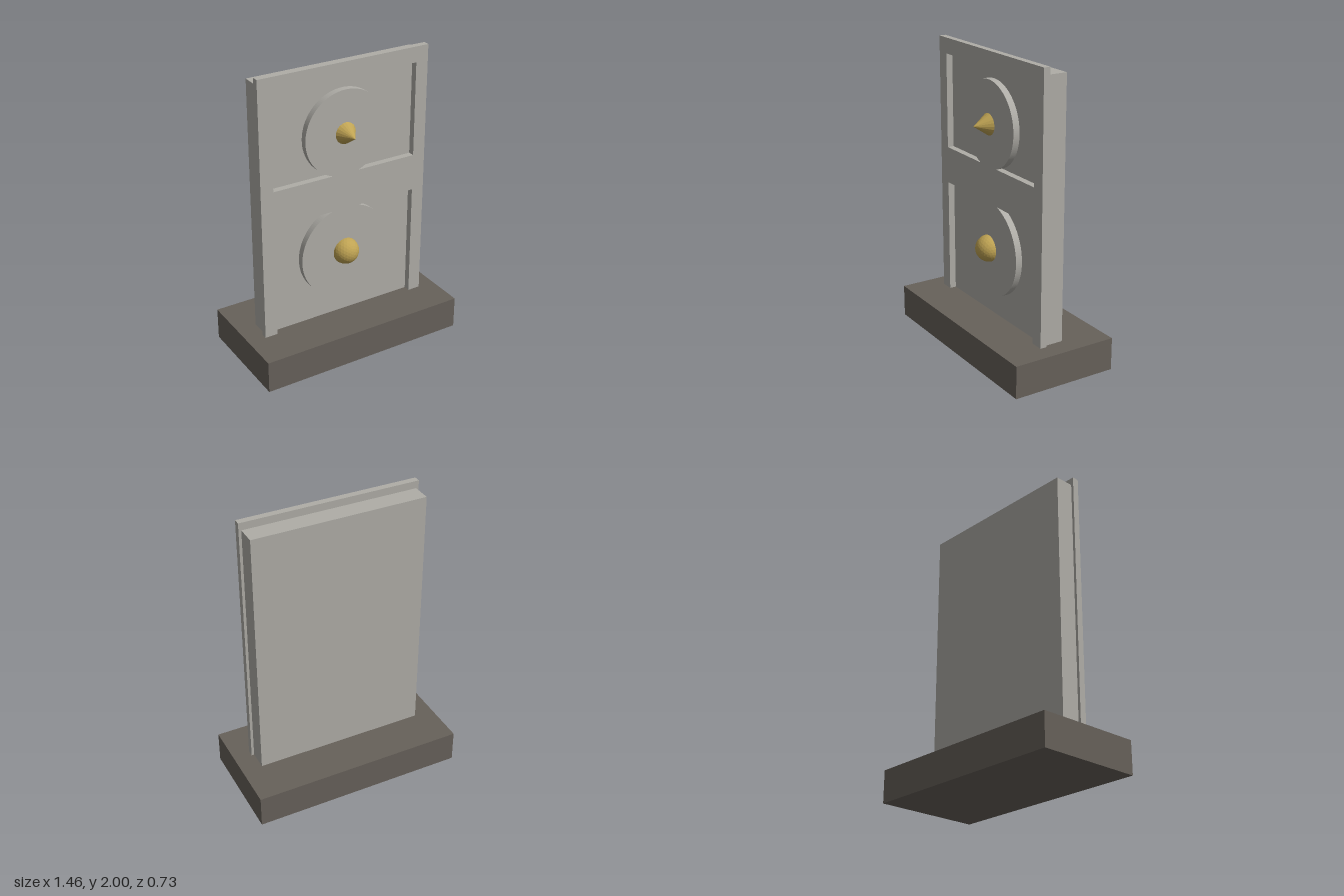
import * as THREE from 'three';

const stone = new THREE.MeshStandardMaterial({ color: 0xafada7 });
stone.name = 'pale stone';
const darkStone = new THREE.MeshStandardMaterial({ color: 0x67615a });
darkStone.name = 'dark stone';
const gold = new THREE.MeshStandardMaterial({ color: 0xbfa353, flatShading: true });
gold.name = 'gold';

const BASE_TOP = 0.22, SLAB_FRONT = 0.06, FACE_FRONT = 0.105;

function add(group, name, geometry, material, x, y, z) {
  const mesh = new THREE.Mesh(geometry, material);
  mesh.name = name;
  mesh.position.set(x, y, z);
  group.add(mesh);
  return mesh;
}

// Panel edge from left to right at height edgeY, detouring around a disc joined to that edge
function traceDisc(path, discY, radius, edgeY) {
  const dy = edgeY - discY;
  const half = Math.sqrt(radius * radius - dy * dy);
  path.lineTo(-0.52, edgeY);
  path.lineTo(-half, edgeY);
  path.absarc(0, discY, radius, Math.atan2(dy, -half), Math.atan2(dy, half), dy < 0);
  path.lineTo(0.52, edgeY);
}

export function createModel() {
  const group = new THREE.Group();

  // Plinth and backing slab
  add(group, 'plinth', new THREE.BoxGeometry(1.456, BASE_TOP, 0.728), darkStone, 0, BASE_TOP / 2, 0);
  add(group, 'slab', new THREE.BoxGeometry(1.18, 1.95 - BASE_TOP, SLAB_FRONT + 0.07), stone,
    0, (1.95 + BASE_TOP) / 2, (SLAB_FRONT - 0.07) / 2);

  // Front face: lower recess opens at the foot, upper recess is a closed cut-out
  const face = new THREE.Shape();
  face.moveTo(-0.608, BASE_TOP);
  face.lineTo(-0.52, BASE_TOP);
  traceDisc(face, 0.695, 0.325, 1.005);
  face.lineTo(0.52, BASE_TOP);
  face.lineTo(0.608, BASE_TOP);
  face.lineTo(0.608, 2);
  face.lineTo(-0.608, 2);
  face.closePath();

  const recess = new THREE.Path();
  recess.moveTo(-0.52, 1.895);
  traceDisc(recess, 1.53, 0.29, 1.255);
  recess.lineTo(0.52, 1.895);
  recess.closePath();
  face.holes.push(recess);

  add(group, 'carvedFace', new THREE.ExtrudeGeometry(face, {
    depth: FACE_FRONT - SLAB_FRONT, bevelEnabled: false, curveSegments: 64,
  }), stone, 0, 0, SLAB_FRONT);

  // Bosses at the disc centres
  const cone = add(group, 'coneBoss', new THREE.ConeGeometry(0.073, 0.11, 20), gold, 0, 1.53, FACE_FRONT + 0.055);
  cone.rotation.x = Math.PI / 2;
  add(group, 'roundBoss', new THREE.IcosahedronGeometry(0.09, 4), gold, 0, 0.695, FACE_FRONT);

  return group;
}
